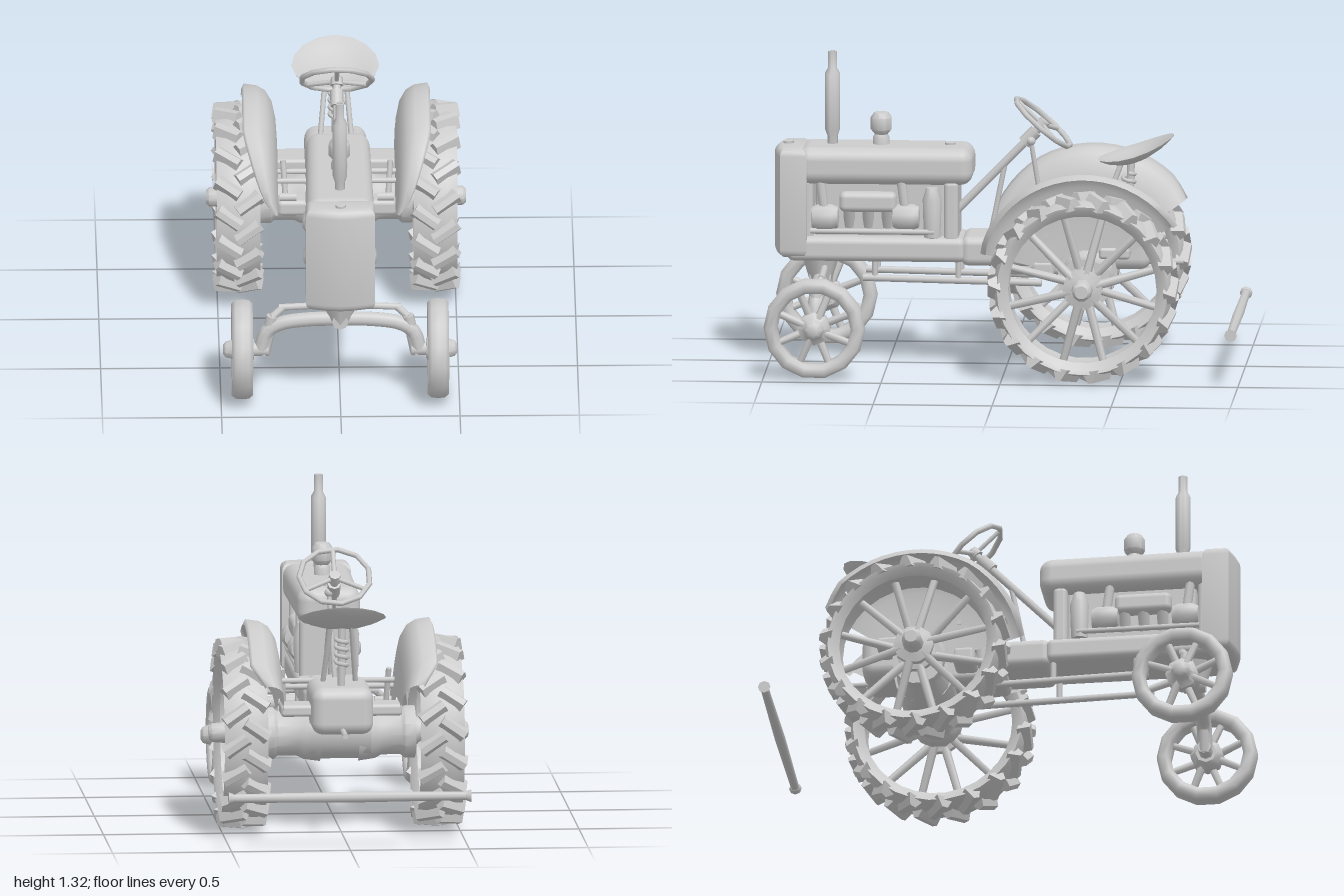
import * as THREE from 'three';
import { mergeGeometries, toCreasedNormals } from 'three/addons/utils/BufferGeometryUtils.js';
import { RoundedBoxGeometry } from 'three/addons/geometries/RoundedBoxGeometry.js';

const grey = new THREE.MeshStandardMaterial({ color: 0xcccccc });
const greyThin = new THREE.MeshStandardMaterial({ color: 0xcccccc, side: THREE.DoubleSide });
const V = (x, y, z) => new THREE.Vector3(x, y, z);

function add(parent, name, geo, x = 0, y = 0, z = 0, mat = grey) {
  const m = new THREE.Mesh(geo, mat);
  m.name = name;
  m.position.set(x, y, z);
  parent.add(m);
  return m;
}

// Round bar between two points, optionally tapered
function bar(a, b, r, r2 = r, sides = 8) {
  const d = b.clone().sub(a);
  const g = new THREE.CylinderGeometry(r2, r, d.length(), sides);
  g.applyQuaternion(new THREE.Quaternion().setFromUnitVectors(V(0, 1, 0), d.normalize()));
  const c = a.clone().add(b).multiplyScalar(0.5);
  return g.translate(c.x, c.y, c.z);
}

// Turned part about the y axis; points are [radius, height]
const turned = (pts, n = 12, crease = 0.8) =>
  toCreasedNormals(new THREE.LatheGeometry(pts.map(p => new THREE.Vector2(...p)), n), crease);

// Soft-edged block given by its extents
function block(parent, name, x0, x1, y0, y1, z0, z1, r = 0.02) {
  return add(parent, name, new RoundedBoxGeometry(x1 - x0, y1 - y0, z1 - z0, 3, r),
    (x0 + x1) / 2, (y0 + y1) / 2, (z0 + z1) / 2);
}

// Spokes lean alternately towards the two hub flanges
function spokes(n, rHub, rRim, lean, r) {
  return mergeGeometries(Array.from({ length: n }, (_, i) => {
    const a = (i + 0.5) / n * Math.PI * 2, x = (i % 2 ? 1 : -1) * lean;
    const c = Math.cos(a), s = Math.sin(a);
    return bar(V(x, rHub * c, rHub * s), V(0, rRim * c, rRim * s), r, r * 0.85, 6);
  }));
}

function rearWheel(s) {
  const w = new THREE.Group();
  w.name = 'rearWheel';
  add(w, 'rearTyre', turned([[0.312, -0.06], [0.34, -0.085], [0.358, -0.092], [0.372, -0.05], [0.376, 0],
    [0.372, 0.05], [0.358, 0.092], [0.34, 0.085], [0.312, 0.06], [0.322, 0], [0.312, -0.06]], 30).rotateZ(-Math.PI / 2));
  // Slanted, wedge-shaped tread lugs, staggered between the two shoulders
  const lugs = [], n = 18;
  for (const side of [-1, 1]) for (let i = 0; i < n; i++) {
    const g = new THREE.BoxGeometry(0.115, 0.05, 0.075);
    const p = g.attributes.position;
    for (let k = 0; k < p.count; k++) if (p.getY(k) > 0) p.setZ(k, p.getZ(k) * 0.35);
    g.computeVertexNormals();
    g.rotateY(side * 0.6).rotateZ(-side * 0.1).translate(side * 0.042, 0.373, 0);
    lugs.push(g.rotateX((i + (side > 0 ? 0.5 : 0)) / n * Math.PI * 2));
  }
  add(w, 'treadLugs', mergeGeometries(lugs));
  add(w, 'rearSpokes', spokes(12, 0.05, 0.325, 0.04, 0.019));
  add(w, 'rearHub', turned([[0, -0.1], [0.06, -0.1], [0.06, -0.055], [0.085, -0.05], [0.085, -0.025], [0.06, -0.02],
    [0.06, 0.02], [0.085, 0.025], [0.085, 0.05], [0.045, 0.06], [0.04, 0.12], [0.028, 0.132], [0, 0.132]], 10)
    .rotateZ(-s * Math.PI / 2));
  w.position.set(s * 0.413, 0.41, -0.345);
  return w;
}

function frontWheel(s) {
  const w = new THREE.Group();
  w.name = 'frontWheel';
  add(w, 'frontTyre', turned([[0.155, -0.03], [0.17, -0.043], [0.198, -0.044], [0.211, -0.028], [0.214, 0],
    [0.211, 0.028], [0.198, 0.044], [0.17, 0.043], [0.155, 0.03], [0.155, -0.03]], 14, 1).rotateZ(-Math.PI / 2));
  add(w, 'frontSpokes', spokes(8, 0.03, 0.162, 0.018, 0.018));
  add(w, 'frontHub', turned([[0, -0.05], [0.045, -0.05], [0.07, -0.025], [0.07, 0.02], [0.045, 0.035], [0.035, 0.07],
    [0.02, 0.08], [0, 0.08]], 8).rotateZ(-s * Math.PI / 2));
  w.position.set(s * 0.411, 0.222, 0.785);
  return w;
}

// Curved mudguard: a cross-section of [x, radius] swept round the rear axle
function fender(s) {
  const sec = [[0.247, 0.14], [0.247, 0.24], [0.253, 0.33], [0.268, 0.4], [0.295, 0.445], [0.33, 0.466], [0.385, 0.474], [0.395, 0.452]];
  const n = 20, pos = [], idx = [], m = sec.length;
  for (let i = 0; i <= n; i++) {
    const t = i / n, a = (14 + 133 * t) * Math.PI / 180;
    const wide = Math.min(1, 0.1 + 0.9 * (t / 0.34) ** 0.6, 0.6 + 4 * (1 - t));
    for (const [x, r] of sec) {
      const rr = r > 0.4 ? r - 0.02 * (1 - wide) : r;
      pos.push(s * (0.245 + (x - 0.245) * wide), 0.41 + rr * Math.sin(a), -0.345 + rr * Math.cos(a));
    }
  }
  for (let i = 0; i < n; i++) for (let j = 0; j < m - 1; j++) {
    const a = i * m + j, b = a + 1, c = a + m, d = c + 1;
    idx.push(...(s > 0 ? [a, c, b, b, c, d] : [a, b, c, b, d, c]));
  }
  const g = new THREE.BufferGeometry();
  g.setAttribute('position', new THREE.Float32BufferAttribute(pos, 3));
  g.setIndex(idx);
  g.computeVertexNormals();
  return g;
}

// Radiator shell: bowed plan outline extruded upwards with rounded edges
function shellGeometry() {
  const plan = new THREE.Shape([[-0.11, -0.87], [-0.11, -0.92], [-0.06, -0.934], [0, -0.942], [0.06, -0.934], [0.11, -0.92], [0.11, -0.87]]
    .map(p => new THREE.Vector2(...p)));
  const g = new THREE.ExtrudeGeometry(plan, { depth: 0.398, bevelSize: 0.035, bevelThickness: 0.035, bevelSegments: 4 });
  return toCreasedNormals(g.rotateX(-Math.PI / 2), 0.7);
}

// Pan seat: a shallow dish, flat at the front and curving up to the back
function seatGeometry() {
  const g = new THREE.LatheGeometry([[0, -0.045], [0.08, -0.04], [0.14, -0.024], [0.18, -0.006], [0.185, 0],
    [0.175, 0], [0.13, -0.012], [0.08, -0.026], [0, -0.032]].map(p => new THREE.Vector2(...p)), 16);
  const p = g.attributes.position;
  for (let i = 0; i < p.count; i++) {
    const z = p.getZ(i) * 0.87;
    p.setZ(i, z);
    p.setX(i, p.getX(i) * (1 - 0.6 * Math.max(0, z)));
    p.setY(i, p.getY(i) - 0.33 * z + 0.6 * z * z);
  }
  return toCreasedNormals(g, 1.2);
}

export function createModel() {
  const tractor = new THREE.Group();
  tractor.name = 'tractor';

  // Bonnet, narrowing towards the driver, and radiator shell
  const hood = block(tractor, 'hood', -0.142, 0.142, 0.78, 0.938, 0.14, 0.88, 0.055);
  const hp = hood.geometry.attributes.position;
  for (let i = 0; i < hp.count; i++) hp.setX(i, hp.getX(i) * (0.97 + 0.1 * hp.getZ(i)));
  add(tractor, 'radiatorShell', shellGeometry(), 0, 0.504, 0);
  for (const z of [0.92, 0.24])
    add(tractor, 'fillerCap', turned([[0.022, 0], [0.022, 0.012], [0, 0.015]], 8), 0, 0.935, z);
  add(tractor, 'exhaustStack', turned([[0.022, 0.9], [0.022, 0.97], [0.032, 1.0], [0.032, 1.235], [0.019, 1.26],
    [0.019, 1.33], [0.012, 1.33], [0.012, 1.26]], 10), 0, 0, 0.735, greyThin);
  add(tractor, 'airIntake', turned([[0.035, 0.9], [0.035, 0.965], [0.028, 0.98], [0.045, 1.0], [0.045, 1.05], [0.03, 1.072], [0, 1.075]], 9),
    0, 0, 0.53);

  // Engine and chassis
  block(tractor, 'engineFrame', -0.135, 0.135, 0.455, 0.56, 0.17, 0.92, 0.03);
  block(tractor, 'engineBlock', -0.075, 0.075, 0.54, 0.8, 0.25, 0.8);
  block(tractor, 'bulkhead', -0.12, 0.12, 0.54, 0.8, 0.2, 0.26);
  block(tractor, 'radiatorCore', -0.11, 0.11, 0.54, 0.8, 0.81, 0.86);
  for (const s of [-1, 1]) {
    block(tractor, 'manifold', s * 0.095 - 0.035, s * 0.095 + 0.035, 0.665, 0.75, 0.46, 0.7, 0.025);
    for (const z of [0.5, 0.58, 0.66])
      add(tractor, 'manifoldPipe', bar(V(s * 0.06, 0.6, z), V(s * 0.105, 0.7, z), 0.024));
    for (const [z, y, r] of [[0.76, 0.64, 0.055], [0.42, 0.645, 0.055]]) {
      add(tractor, 'engineAccessory', turned([[0, -0.06], [r * 0.8, -0.055], [r, -0.03], [r, 0.03], [r * 0.8, 0.055], [0, 0.06]], 10)
        .rotateX(Math.PI / 2), s * 0.1, y, z);
      add(tractor, 'accessoryPipe', bar(V(s * 0.1, y, z), V(s * 0.1, 0.8, z + 0.02), 0.02));
    }
    add(tractor, 'filterBowl', turned([[0, 0.55], [0.035, 0.56], [0.04, 0.72], [0.025, 0.77], [0, 0.77]], 10), s * 0.1, 0, 0.31);
    add(tractor, 'sidePipe', bar(V(s * 0.125, 0.585, 0.3), V(s * 0.125, 0.585, 0.82), 0.012));
  }
  block(tractor, 'clutchHousing', -0.13, 0.13, 0.44, 0.565, -0.13, 0.19, 0.035);
  block(tractor, 'gearbox', -0.105, 0.105, 0.4, 0.6, -0.32, 0, 0.03);
  block(tractor, 'rearCase', -0.13, 0.13, 0.43, 0.63, -0.61, -0.24, 0.05);
  add(tractor, 'differential', bar(V(-0.13, 0.42, -0.345), V(0.13, 0.42, -0.345), 0.125, 0.125, 16));
  add(tractor, 'drawbarTongue', bar(V(0, 0.45, -0.5), V(0, 0.45, -0.74), 0.012));

  // Front axle support
  add(tractor, 'axlePivot', bar(V(0, 0.35, 0.785), V(0, 0.48, 0.785), 0.045, 0.085, 8));
  add(tractor, 'pivotPin', bar(V(0, 0.365, 0.74), V(0, 0.365, 0.83), 0.035));

  for (const s of [-1, 1]) {
    tractor.add(rearWheel(s), frontWheel(s));
    add(tractor, 'fender', fender(s), 0, 0, 0, greyThin);

    // Rear axle housing, brackets and pedals
    add(tractor, 'axleHousing', turned([[0.12, 0.08], [0.11, 0.15], [0.095, 0.18], [0.095, 0.26], [0.11, 0.275], [0.11, 0.32], [0, 0.32]], 14)
      .rotateZ(-s * Math.PI / 2), 0, 0.405, -0.345);
    const x = s * 0.18;
    block(tractor, 'stepBracket', x - 0.07, x + 0.07, 0.42, 0.49, -0.21, -0.115);
    block(tractor, 'fenderBracket', x - 0.075, x + 0.075, 0.5, 0.55, -0.53, -0.4, 0.015);
    for (const [y, z] of [[0.57, -0.15], [0.6, -0.18]])
      add(tractor, 'footRail', bar(V(s * 0.08, y, z), V(s * 0.25, y, z), 0.012));
    add(tractor, 'pedalLever', bar(V(s * 0.215, 0.49, -0.14), V(s * 0.225, 0.65, -0.18), 0.012));
    add(tractor, 'pedalPad', bar(V(s * 0.17, 0.505, -0.13), V(s * 0.24, 0.505, -0.13), 0.018));

    // Arched front axle, steering knuckle and links
    const arch = new THREE.CatmullRomCurve3([V(0, 0.362, 0.785), V(s * 0.14, 0.358, 0.785),
      V(s * 0.25, 0.34, 0.785), V(s * 0.305, 0.305, 0.785), V(s * 0.33, 0.225, 0.785)]);
    add(tractor, 'frontAxle', new THREE.TubeGeometry(arch, 14, 0.032, 8));
    add(tractor, 'kingpin', bar(V(s * 0.32, 0.2, 0.785), V(s * 0.285, 0.375, 0.785), 0.025));
    add(tractor, 'spindle', bar(V(s * 0.3, 0.222, 0.785), V(s * 0.4, 0.222, 0.785), 0.03));
    add(tractor, 'steeringArm', bar(V(s * 0.285, 0.37, 0.785), V(s * 0.24, 0.405, 0.765), 0.016));
    add(tractor, 'tieRod', bar(V(s * 0.255, 0.405, 0.765), V(s * 0.06, 0.415, 0.765), 0.015));
    add(tractor, 'chassisRod', bar(V(s * 0.1, 0.385, 0.6), V(s * 0.1, 0.37, -0.15), 0.015));
    for (const z of [0.55, 0.2])
      add(tractor, 'rodHanger', bar(V(s * 0.1, 0.375, z), V(s * 0.1, 0.47, z), 0.012));
  }

  // Steering column and wheel
  add(tractor, 'steeringColumn', bar(V(0, 0.66, 0.21), V(0, 1.025, -0.145), 0.017));
  add(tractor, 'columnCollar', bar(V(0, 0.95, -0.07), V(0, 1.0, -0.12), 0.028));
  add(tractor, 'columnStay', bar(V(0, 0.56, 0.07), V(0, 0.86, 0.01), 0.011));
  const steering = new THREE.Group();
  steering.name = 'steeringWheel';
  add(steering, 'steeringRim', new THREE.TorusGeometry(0.15, 0.012, 6, 11).rotateX(Math.PI / 2));
  add(steering, 'steeringHub', turned([[0, -0.025], [0.028, -0.025], [0.024, 0.012], [0, 0.015]], 8));
  for (let i = 0; i < 3; i++) {
    const a = i * Math.PI * 2 / 3 + Math.PI / 2;
    add(steering, 'steeringSpoke', bar(V(0, -0.008, 0), V(0.148 * Math.cos(a), 0, 0.148 * Math.sin(a)), 0.01));
  }
  steering.position.set(0, 1.035, -0.15);
  steering.rotation.x = -0.71;
  tractor.add(steering);
  add(tractor, 'gearLever', bar(V(0, 0.58, -0.16), V(0.02, 0.96, -0.1), 0.01));
  add(tractor, 'gearKnob', new THREE.SphereGeometry(0.02, 8, 6), 0.02, 0.96, -0.1);

  // Seat on a coil spring
  add(tractor, 'seatPan', seatGeometry(), 0, 0.922, -0.54, greyThin);
  const coil = new THREE.CatmullRomCurve3(Array.from({ length: 33 }, (_, i) =>
    V(0.025 * Math.cos(i * Math.PI / 4), 0.7 + i * 0.004, -0.51 + 0.025 * Math.sin(i * Math.PI / 4))));
  add(tractor, 'seatSpring', new THREE.TubeGeometry(coil, 64, 0.009, 5));
  add(tractor, 'seatPost', bar(V(0, 0.61, -0.51), V(0, 0.88, -0.52), 0.016));
  for (const s of [-1, 1])
    add(tractor, 'seatStay', bar(V(s * 0.07, 0.61, -0.38), V(s * 0.045, 0.87, -0.48), 0.011));

  // Detached tow bar behind the tractor
  for (const s of [-1, 1]) {
    add(tractor, 'towBar', bar(V(0, 0.228, -0.97), V(s * 0.5, 0.228, -0.97), 0.023, 0.018));
    add(tractor, 'towBarEnd', bar(V(s * 0.49, 0.228, -0.97), V(s * 0.51, 0.228, -0.97), 0.02, 0.027));
  }

  return tractor;
}
